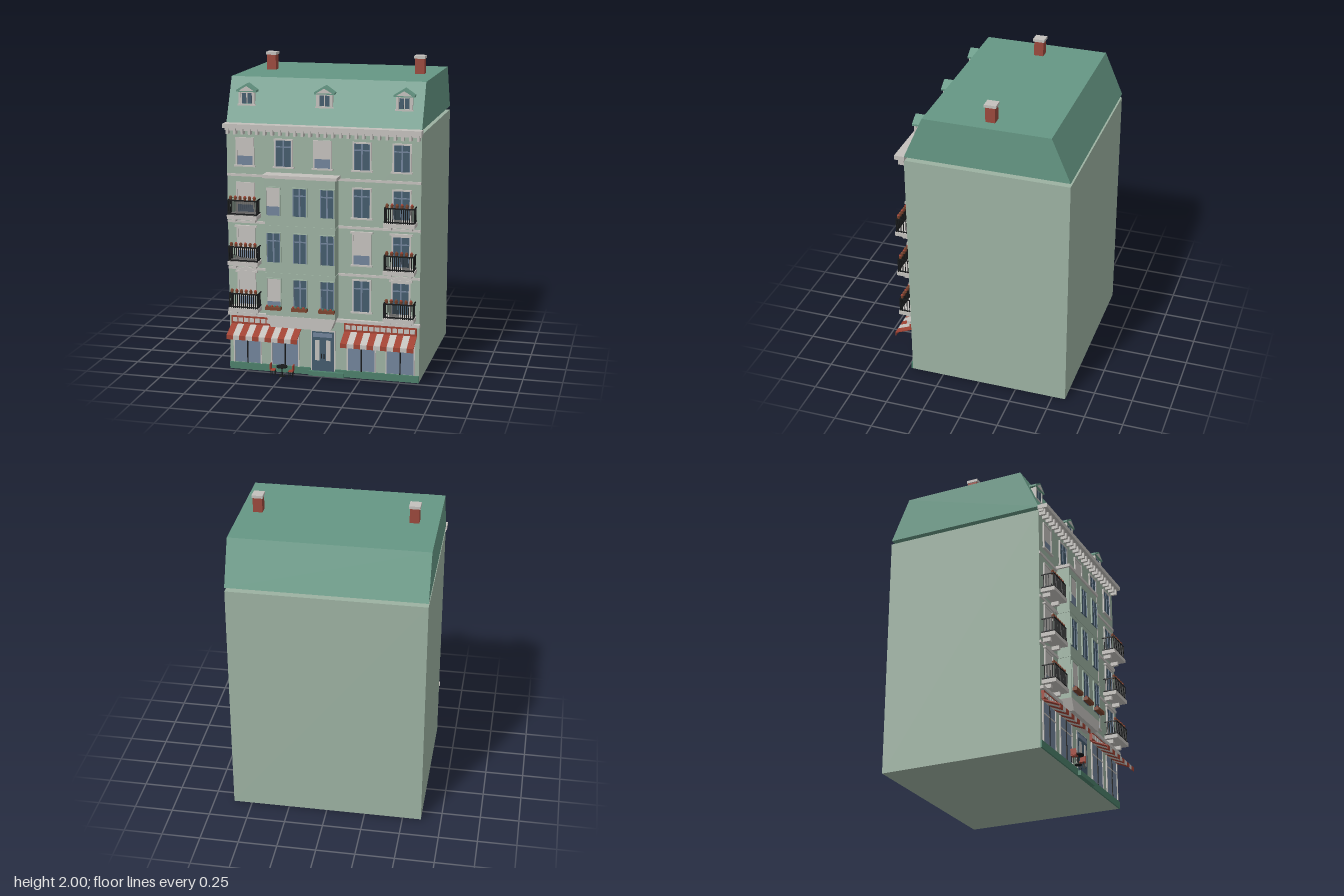
import * as THREE from 'three';

const paint = (name, color) => {
  const m = new THREE.MeshStandardMaterial({ color });
  m.name = name;
  return m;
};

export function createModel() {
  const root = new THREE.Group();
  root.name = 'townHouse';
  const wall = paint('sage wall', 0x9cb1a1), roof = paint('green roof', 0x659784);
  const trim = paint('pale stone', 0xc3c0bc), brick = paint('brick', 0x9a483c);
  const red = paint('awning red', 0xa04233), base = paint('plinth green', 0x4c7f6a);
  const glass = paint('dark glass', 0x435b6c), pale = paint('pale glass', 0x71839a);
  const iron = paint('black iron', 0x17191a), clay = paint('terracotta', 0x7c452f);
  const FRONT = 0.465, BAY = 0.55;

  const add = (parent, name, geo, mat) => {
    const m = new THREE.Mesh(geo, mat);
    m.name = name;
    parent.add(m);
    return m;
  };
  const group = (name, x = 0, y = 0, z = 0) => {
    const g = new THREE.Group();
    g.name = name;
    g.position.set(x, y, z);
    root.add(g);
    return g;
  };
  // box given by its minimum and maximum on each axis
  const box = (p, name, mat, x0, x1, y0, y1, z0, z1) => {
    const m = add(p, name, new THREE.BoxGeometry(x1 - x0, y1 - y0, z1 - z0), mat);
    m.position.set((x0 + x1) / 2, (y0 + y1) / 2, (z0 + z1) / 2);
    return m;
  };
  // polygon in the xy plane pushed forward along z
  const prism = (p, name, mat, pts, depth) => add(p, name, new THREE.ExtrudeGeometry(
    new THREE.Shape(pts.map(([x, y]) => new THREE.Vector2(x, y))), { depth, bevelEnabled: false }), mat);

  // main block, floor bands and plinth
  box(root, 'body', wall, -0.62, 0.62, 0, 1.58, -0.585, FRONT);
  for (const y of [0.675, 0.98, 1.28]) box(root, 'floorBand', trim, -0.62, 0.62, y - 0.008, y + 0.008, FRONT, 0.472);
  box(root, 'shopLedge', trim, -0.625, 0.625, 0.365, 0.385, FRONT, 0.49);
  for (const s of [-1, 1]) box(root, 'plinth', base, Math.min(s * 0.08, s * 0.62), Math.max(s * 0.08, s * 0.62), 0, 0.045, FRONT, 0.475);
  box(root, 'doorStep', base, -0.09, 0.14, 0, 0.03, FRONT, 0.495);

  // mansard roof: side profile pushed across the width
  const mansard = prism(root, 'mansardRoof', roof, [[-0.465, 1.605], [0.585, 1.605], [0.465, 1.885], [-0.34, 1.885]], 1.24);
  mansard.rotation.y = Math.PI / 2;
  mansard.position.x = -0.62;

  // cornice with brackets
  box(root, 'cornice', trim, -0.628, 0.628, 1.582, 1.61, 0.46, 0.525);
  box(root, 'corniceMoulding', trim, -0.622, 0.622, 1.565, 1.582, FRONT, 0.495);
  for (let i = 0; i < 26; i++) {
    const x = -0.605 + i * 0.0484;
    box(root, 'corniceBracket', trim, x - 0.008, x + 0.008, 1.543, 1.582, FRONT, 0.507);
  }

  // chimneys
  for (const x of [-0.47, 0.51]) {
    box(root, 'chimney', brick, x - 0.03, x + 0.03, 1.88, 1.985, -0.093, -0.032);
    box(root, 'chimneyCap', trim, x - 0.035, x + 0.035, 1.982, 2, -0.1, -0.025);
  }

  // dormers
  for (const x of [-0.5, 0, 0.5]) {
    const d = group('dormer', x);
    box(d, 'dormerBody', trim, -0.046, 0.046, 1.715, 1.805, 0.36, 0.412);
    box(d, 'dormerSill', trim, -0.058, 0.058, 1.712, 1.722, 0.39, 0.42);
    for (const s of [-1, 1]) {
      box(d, 'dormerGlass', glass, s * 0.018 - 0.014, s * 0.018 + 0.014, 1.725, 1.79, 0.412, 0.415);
      box(d, 'dormerPost', trim, s * 0.045 - 0.007, s * 0.045 + 0.007, 1.72, 1.8, 0.4, 0.418);
    }
    prism(d, 'dormerRoof', roof, [[-0.065, 1.798], [0.065, 1.798], [0.065, 1.81], [0, 1.85], [-0.065, 1.81]], 0.075).position.z = 0.35;
    prism(d, 'dormerGable', trim, [[-0.05, 1.805], [0.05, 1.805], [0, 1.835]], 0.003).position.z = 0.424;
  }

  // projecting bay
  box(root, 'bay', wall, -0.35, 0.1, 0.4, 1.288, FRONT, BAY);
  box(root, 'bayCap', trim, -0.362, 0.112, 1.285, 1.305, FRONT, 0.56);
  for (const y of [0.675, 0.98]) box(root, 'bayBand', wall, -0.353, 0.103, y - 0.006, y + 0.006, FRONT, 0.553);
  prism(root, 'bayCorbel', trim, [[-0.32, 0.325], [0.07, 0.325], [0.1, 0.4], [-0.35, 0.4]], 0.087).position.z = FRONT;

  // sash window; blind is the share covered by a pale blind
  function sash(x, y0, y1, w, z, { blind = 0, surround = true, head = '' } = {}) {
    const g = group('window', x, 0, z), h = w / 2;
    const cut = y1 - (y1 - y0) * blind;
    if (cut > y0) box(g, 'pane', blind ? pale : glass, -h, h, y0, cut, 0, 0.004);
    if (blind) box(g, 'blind', trim, -h, h, cut, y1, 0, 0.004);
    if (!blind) {
      const bar = y0 + (y1 - y0) * 0.73;
      box(g, 'transom', pale, -h, h, bar - 0.004, bar + 0.004, 0, 0.007);
      box(g, 'mullion', pale, -0.005, 0.005, y0, y1, 0, 0.007);
      for (const s of [-1, 1]) box(g, 'sashStile', pale, s * (h - 0.004) - 0.004, s * (h - 0.004) + 0.004, y0, y1, 0, 0.007);
    }
    const mat = surround ? trim : wall, t = surround ? 0.01 : 0.005;
    for (const s of [-1, 1]) box(g, 'jamb', mat, s * h - t / 2, s * h + t / 2, y0, y1, 0, 0.01);
    box(g, 'lintel', mat, -h - t / 2, h + t / 2, y1 - t / 2, y1 + t / 2, 0, 0.01);
    if (surround) box(g, 'sill', trim, -h - 0.013, h + 0.013, y0 - 0.01, y0, 0, 0.016);
    if (head) box(g, 'headMoulding', trim, -h - 0.016, h + 0.016, y1 + 0.006, y1 + 0.017, 0, 0.018);
    if (head === 'pediment') prism(g, 'pediment', trim, [[-h - 0.012, y1 + 0.017], [h + 0.012, y1 + 0.017], [0, y1 + 0.045]], 0.014);
  }

  // top floor windows
  [-0.5, -0.25, 0, 0.25, 0.5].forEach((x, i) => sash(x, 1.345, 1.515, 0.11, FRONT, { blind: [0.66, 0, 0.66, 0, 0][i] }));

  // three lower floors: side windows, bay windows and balconies
  const floors = [
    { y0: 0.44, y1: 0.645, head: 'pediment', blinds: [0.75, 0, 0], bayBlind: 0.75 },
    { y0: 0.745, y1: 0.94, head: 'flat', blinds: [0.75, 0.7, 0], bayBlind: 0 },
    { y0: 1.045, y1: 1.23, head: '', blinds: [0.75, 0, 0], bayBlind: 0.68 },
  ];
  floors.forEach(({ y0, y1, head, blinds, bayBlind }, f) => {
    [-0.5, 0.25, 0.5].forEach((x, i) => sash(x, y0, y1, 0.112, FRONT, { blind: blinds[i], head: x === 0.25 && f === 0 ? '' : head }));
    [-0.295, -0.125, 0.05].forEach((x, i) => {
      sash(x, y0 + 0.005, y1, 0.092, BAY, { blind: i ? 0 : bayBlind, surround: false });
      if (f === 0) planter(group('windowBox', x, 0.445, 0.572), 0.1, 0.03);
    });
    for (const x of [-0.5, 0.5]) balcony(x, y0 - 0.008);
  });

  // trough with a row of plants
  function planter(g, w, d) {
    box(g, 'trough', clay, -w / 2, w / 2, 0, 0.02, -d / 2, d / 2);
    for (let i = 0; i < 6; i++) {
      const r = w / 13;
      const p = add(g, 'plant', new THREE.IcosahedronGeometry(r, 0), i % 2 ? base : red);
      p.position.set((i - 2.5) * w / 6, 0.024, 0);
    }
  }

  function balcony(x, y) {
    const g = group('balcony', x, y, FRONT), h = 0.092, d = 0.085;
    box(g, 'slab', trim, -h - 0.006, h + 0.006, -0.025, 0, 0, d + 0.006);
    for (const s of [-1, 1]) {
      box(g, 'console', trim, s * 0.065 - 0.01, s * 0.065 + 0.01, -0.05, -0.025, 0, 0.05);
      for (const ry of [0.008, 0.094]) box(g, 'sideRail', iron, s * h - 0.003, s * h + 0.003, ry - 0.003, ry + 0.003, 0, d);
      for (let i = 1; i < 5; i++) box(g, 'sideBaluster', iron, s * h - 0.002, s * h + 0.002, 0, 0.094, i * 0.017 - 0.002, i * 0.017 + 0.002);
    }
    for (const ry of [0.008, 0.094]) box(g, 'frontRail', iron, -h, h, ry - 0.004, ry + 0.004, d - 0.006, d);
    for (let i = 0; i <= 14; i++) {
      const bx = -h + i * h / 7;
      box(g, 'baluster', iron, bx - 0.0025, bx + 0.0025, 0, 0.096, d - 0.005, d);
    }
    for (let i = 0; i < 6; i++) {
      const px = (i - 2.5) * 0.031;
      add(g, 'flowerPot', new THREE.CylinderGeometry(0.011, 0.008, 0.02, 8), clay).position.set(px, 0.104, d - 0.014);
      add(g, 'flower', new THREE.IcosahedronGeometry(0.009, 0), i % 2 ? red : clay).position.set(px, 0.116, d - 0.014);
    }
  }

  // shop fronts with sign boards and striped awnings
  for (const s of [-1, 1]) {
    const g = group('shopFront', s * 0.3725);
    box(g, 'signBoard', red, -0.232, 0.232, 0.308, 0.362, FRONT, 0.482);
    for (let i = 0; i < 12; i++) {
      const x = (i - 5.5) * 0.0375;
      box(g, 'signPanel', trim, x - 0.015, x + 0.015, 0.322, 0.35, 0.482, 0.485);
    }
    const n = 11, w = 0.465 / n;
    for (let i = 0; i < n; i++) {
      const x = -0.2325 + i * w;
      // sloping cloth and hanging edge drawn as a side profile
      const strip = prism(g, 'awningStripe', i % 2 ? trim : red,
        [[-0.47, 0.308], [-0.47, 0.302], [-0.581, 0.254], [-0.581, 0.232], [-0.585, 0.232], [-0.585, 0.26]], w);
      strip.rotation.y = Math.PI / 2;
      strip.position.x = x;
    }
    for (const cx of [s * 0.25, s * 0.5]) {
      const p = group('shopWindow', cx, 0, FRONT);
      box(p, 'shopPane', pale, -0.09, 0.09, 0.048, 0.3, 0, 0.004);
      for (const bx of [-0.09, 0, 0.09]) box(p, 'shopMullion', bx ? trim : iron, bx - 0.004, bx + 0.004, 0.045, 0.3, 0, 0.009);
      box(p, 'shopTransom', trim, -0.09, 0.09, 0.222, 0.228, 0, 0.009);
    }
  }

  // entrance door with two leaves
  const door = group('entranceDoor', 0, 0, FRONT);
  box(door, 'doorFrame', trim, -0.08, 0.08, 0.03, 0.3, 0, 0.004);
  box(door, 'doorPanel', glass, -0.072, 0.072, 0.03, 0.29, 0.004, 0.009);
  box(door, 'fanlight', pale, -0.062, 0.062, 0.255, 0.282, 0.009, 0.012);
  for (const s of [-1, 1]) {
    box(door, 'doorGlass', trim, s * 0.036 - 0.014, s * 0.036 + 0.014, 0.1, 0.235, 0.009, 0.012);
    box(door, 'doorHandle', iron, s * 0.008 - 0.003, s * 0.008 + 0.003, 0.115, 0.145, 0.009, 0.017);
  }

  // pavement table with two chairs
  const cafe = group('cafeSet', -0.25, 0, 0.545);
  add(cafe, 'tableTop', new THREE.CylinderGeometry(0.036, 0.036, 0.006, 16), iron).position.y = 0.064;
  add(cafe, 'tableLeg', new THREE.CylinderGeometry(0.004, 0.004, 0.062, 8), iron).position.y = 0.031;
  add(cafe, 'tableFoot', new THREE.CylinderGeometry(0.022, 0.022, 0.004, 12), iron).position.y = 0.002;
  for (const s of [-1, 1]) {
    box(cafe, 'chairSeat', red, s * 0.06 - 0.015, s * 0.06 + 0.015, 0.036, 0.042, -0.018, 0.018);
    box(cafe, 'chairBack', red, s * 0.075 - 0.003, s * 0.075 + 0.003, 0.042, 0.08, -0.018, 0.018);
    for (const a of [-1, 1]) for (const b of [-1, 1])
      box(cafe, 'chairLeg', iron, s * 0.06 + a * 0.012 - 0.002, s * 0.06 + a * 0.012 + 0.002, 0, 0.036, b * 0.014 - 0.002, b * 0.014 + 0.002);
  }
  return root;
}
